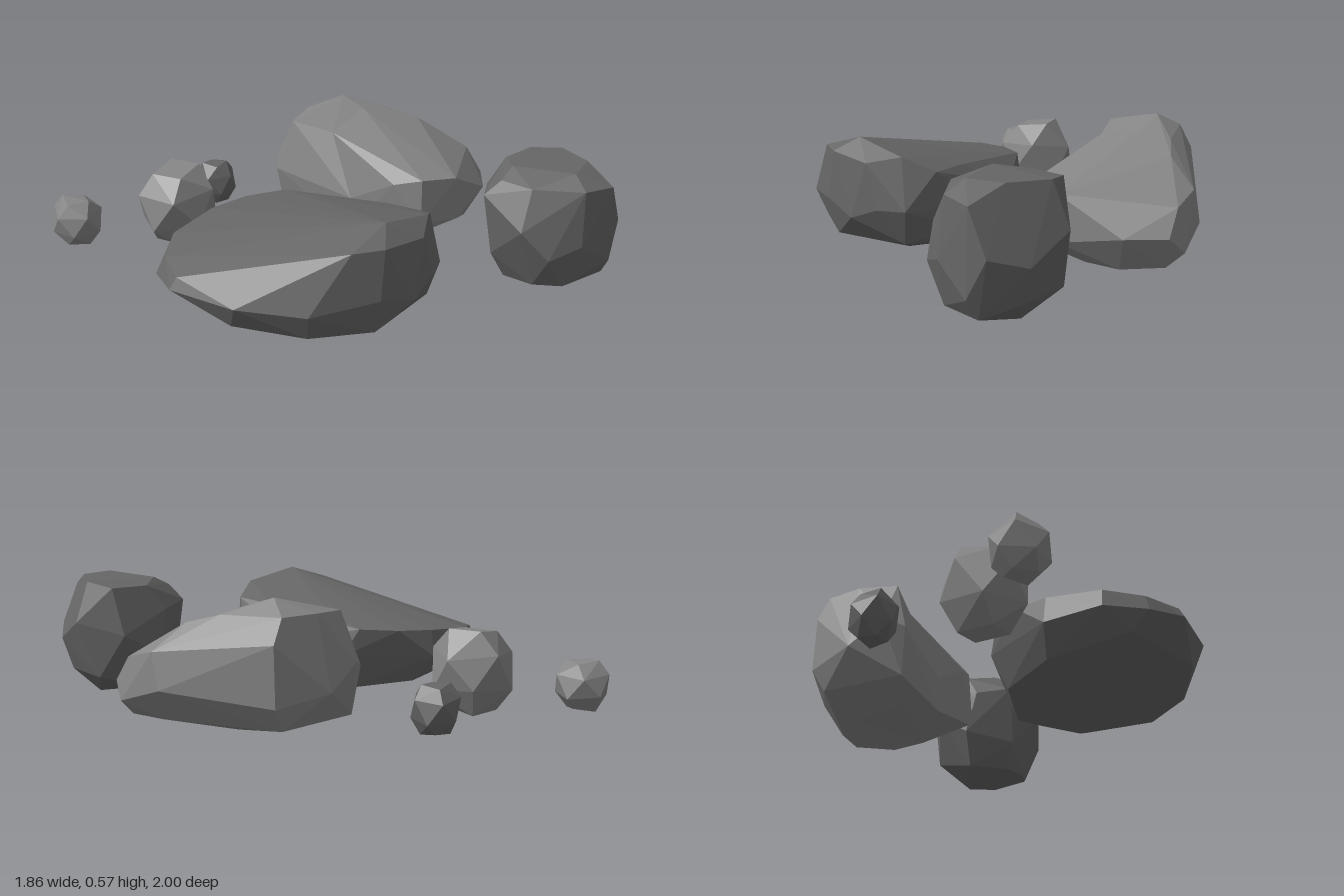
import * as THREE from 'three';
import { ConvexGeometry } from 'three/addons/geometries/ConvexGeometry.js';

const darkStone = new THREE.MeshStandardMaterial({ color: 0x666666 });
darkStone.name = 'darkStone';
const lightStone = new THREE.MeshStandardMaterial({ color: 0x858585 });
lightStone.name = 'lightStone';

// Faceted rock: the hull of a few corner points
function rock(name, points, material) {
  const geometry = new ConvexGeometry(points.map((p) => new THREE.Vector3(...p)));
  const mesh = new THREE.Mesh(geometry, material);
  mesh.name = name;
  return mesh;
}

// Pebble: staggered rings of corners, stretched to fill a box given by its low and high corners
function pebble(name, low, high, turn, material) {
  const rings = [[1, 0.6, 4], [0.45, 1, 5], [-0.4, 1, 5], [-1, 0.6, 4]];
  const points = [];
  rings.forEach(([y, r, n], k) => {
    for (let i = 0; i < n; i++) {
      const a = turn + k * 0.6 + (i / n) * Math.PI * 2;
      points.push([r * Math.cos(a), y + 0.08 * Math.sin(i * 2.3 + turn * 3), r * Math.sin(a)]);
    }
  });
  for (let axis = 0; axis < 3; axis++) {
    const values = points.map((p) => p[axis]);
    const min = Math.min(...values), max = Math.max(...values);
    for (const p of points) {
      p[axis] = low[axis] + ((p[axis] - min) / (max - min)) * (high[axis] - low[axis]);
    }
  }
  return rock(name, points, material);
}

export function createModel() {
  const group = new THREE.Group();
  group.name = 'rocks';

  // Broad slab with a sloping top, highest near the front
  group.add(rock('slabRock', [
    // top rim
    [-0.9, 0.27, 0.06], [-0.84, 0.28, -0.1], [-0.71, 0.3, -0.22], [-0.47, 0.32, -0.27],
    [-0.3, 0.33, -0.25], [-0.14, 0.34, -0.17], [-0.13, 0.38, 0.04], [0.01, 0.4, 0.33],
    [-0.05, 0.47, 0.62], [-0.3, 0.52, 0.63], [-0.5, 0.46, 0.65], [-0.38, 0.46, 0.71], [-0.17, 0.44, 0.71],
    // widest line
    [-0.93, 0.22, 0.05], [-0.87, 0.2, -0.13], [-0.72, 0.22, -0.24], [-0.47, 0.2, -0.29],
    [-0.08, 0.22, -0.13], [0.05, 0.28, 0.08], [0.09, 0.25, 0.24], [0.11, 0.26, 0.42], [0.11, 0.16, 0.41],
    [0.06, 0.41, 0.53], [0, 0.25, 0.65], [-0.11, 0.25, 0.71], [-0.24, 0.2, 0.74],
    [-0.41, 0.25, 0.72], [-0.67, 0.22, 0.59], [-0.85, 0.23, 0.36],
    // underside
    [-0.82, 0.12, 0.3], [-0.64, 0.1, 0.55], [-0.4, 0.09, 0.68], [-0.04, 0.1, 0.62],
    [0.06, 0.1, 0.4], [0.02, 0.05, 0.2], [-0.14, 0.06, -0.09], [-0.42, 0.08, -0.2],
    [-0.78, 0.13, -0.12], [-0.5, 0.05, 0.4], [-0.2, 0.02, 0.1], [-0.15, 0.04, 0.5],
  ], darkStone));

  // Tall wedge that slopes down towards the front, slightly hollow where its two halves meet
  const wedge = [
    // top
    [0.17, 0.5, -0.47], [0.33, 0.51, -0.54], [0.5, 0.51, -0.55], [0.46, 0.57, -0.43],
    [0.26, 0.47, -0.29], [0.48, 0.53, -0.31], [0.63, 0.5, -0.3], [0.72, 0.46, -0.18],
    [0.86, 0.35, -0.15], [0.89, 0.31, 0], [0.42, 0.4, 0.11], [0.27, 0.33, 0.11],
    [0.33, 0.37, 0.23], [0.5, 0.35, 0.28],
    // sides
    [0.09, 0.27, -0.5], [0.16, 0.3, -0.57], [0.31, 0.2, -0.61], [0.55, 0.16, -0.58],
    [0.55, 0.41, -0.57], [0.86, 0.2, -0.2], [0.93, 0.13, 0], [0.91, 0.2, 0.08],
    [0.78, 0.2, 0.21], [0.51, 0.15, 0.29], [0.32, 0.16, 0.24], [0.22, 0.2, -0.12],
    // underside
    [0.12, 0.06, -0.48], [0.26, 0.02, -0.3], [0.5, 0.06, -0.55], [0.55, 0.02, -0.3],
    [0.8, 0.06, -0.12], [0.86, 0.06, 0.03], [0.72, 0.05, 0.15], [0.5, 0.02, 0.1],
    [0.31, 0.1, 0.21], [0.22, 0.04, -0.12],
  ];
  const wedgeRock = new THREE.Group();
  wedgeRock.name = 'wedgeRock';
  wedgeRock.add(rock('wedgeBack', wedge.filter((p) => p[2] <= -0.1), lightStone));
  wedgeRock.add(rock('wedgeFront', wedge.filter((p) => p[2] >= -0.32), lightStone));
  group.add(wedgeRock);

  // Blocky boulder at the front
  group.add(rock('boulder', [
    // top
    [0.39, 0.49, 0.63], [0.47, 0.53, 0.62], [0.56, 0.51, 0.51], [0.73, 0.51, 0.51],
    [0.79, 0.53, 0.64], [0.73, 0.54, 0.82], [0.58, 0.54, 0.87], [0.41, 0.49, 0.78],
    [0.55, 0.49, 0.95], [0.7, 0.48, 0.98],
    // sides
    [0.34, 0.42, 0.58], [0.33, 0.32, 0.8], [0.36, 0.15, 0.62], [0.48, 0.4, 0.48],
    [0.53, 0.2, 0.46], [0.7, 0.3, 0.455], [0.86, 0.35, 0.62], [0.85, 0.25, 0.82],
    [0.78, 0.3, 0.97], [0.7, 0.14, 0.995], [0.53, 0.25, 0.97], [0.4, 0.2, 0.9],
    // underside
    [0.42, 0.03, 0.65], [0.55, 0.04, 0.52], [0.71, 0, 0.72], [0.78, 0.1, 0.56],
    [0.8, 0.1, 0.82], [0.72, 0.06, 0.95], [0.5, 0.05, 0.91], [0.43, 0.04, 0.8],
  ], darkStone));

  // Small stones at the back
  group.add(pebble('mediumStone', [-0.59, 0.03, -0.78], [-0.24, 0.39, -0.44], 0.4, lightStone));
  group.add(pebble('smallStone', [-0.9, 0.04, -1], [-0.68, 0.26, -0.77], 1.1, lightStone));
  group.add(pebble('tinyStone', [-0.14, 0.03, -0.92], [0.06, 0.24, -0.73], 2, darkStone));

  return group;
}
